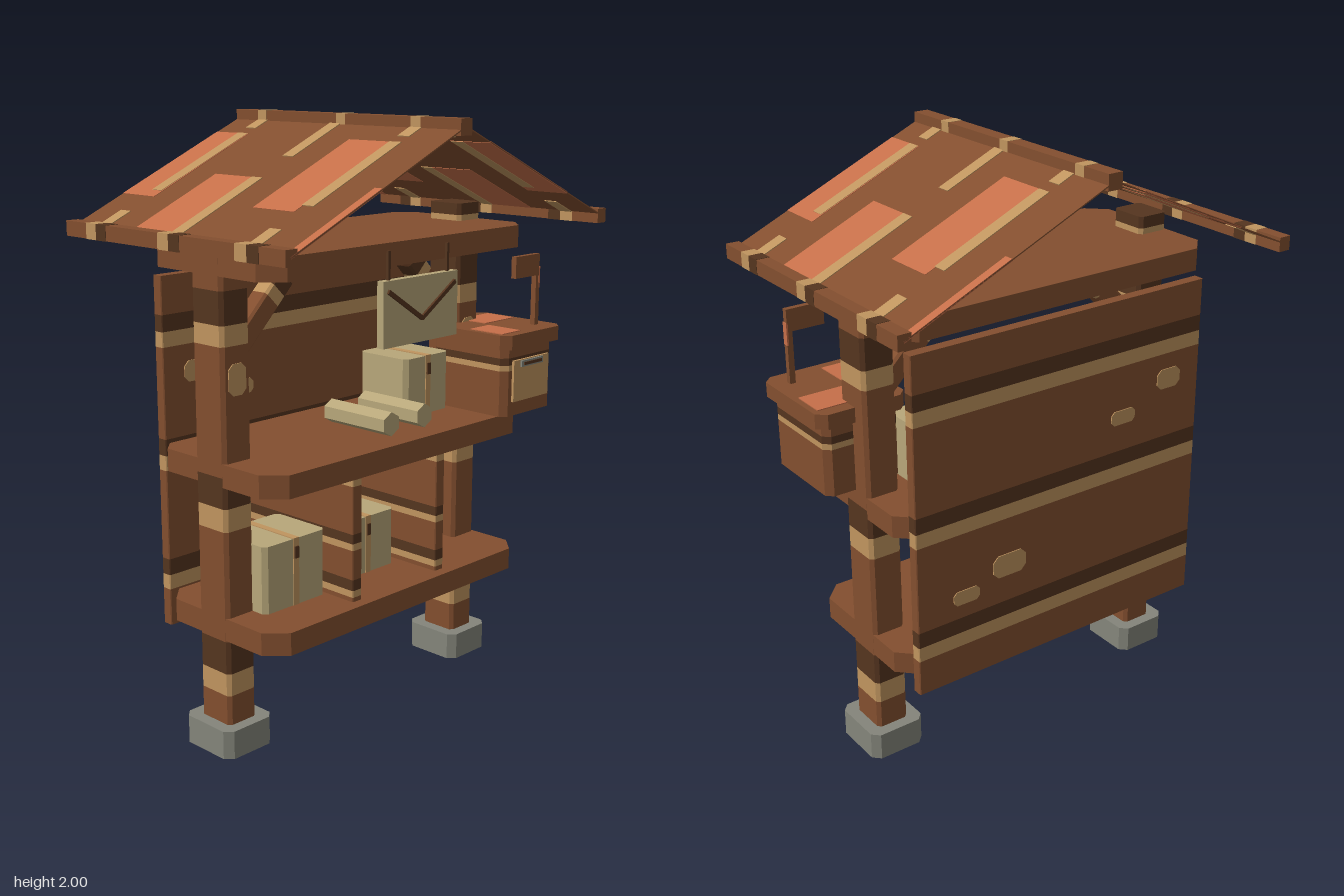
import * as THREE from 'three';

const mat = (name, color) => {
  const m = new THREE.MeshStandardMaterial({ color });
  m.name = name;
  return m;
};

export function createModel() {
  const wood = mat('brown wood', 0x834f2f);
  const dark = mat('dark wood', 0x55351f);
  const tan = mat('tan wood', 0xc0955f);
  const orange = mat('orange wood', 0xc66f49);
  const cream = mat('cream paper', 0xb8a77a);
  const stone = mat('grey stone', 0x84857b);
  const model = new THREE.Group();
  model.name = 'marketStall';

  const add = (parent, name, geo, material, x = 0, y = 0, z = 0) => {
    const m = new THREE.Mesh(geo, material);
    m.name = name;
    m.position.set(x, y, z);
    parent.add(m);
    return m;
  };
  // Box given by its limits on each axis
  const box = (parent, name, material, x0, x1, y0, y1, z0, z1) =>
    add(parent, name, new THREE.BoxGeometry(x1 - x0, y1 - y0, z1 - z0), material,
      (x0 + x1) / 2, (y0 + y1) / 2, (z0 + z1) / 2);
  // Upright block with cut corners in plan
  const block = (parent, name, material, x0, x1, y0, y1, z0, z1, c) => {
    const w = (x1 - x0) / 2, d = (z1 - z0) / 2;
    const pts = [[w, c - d], [w, d - c], [w - c, d], [c - w, d], [-w, d - c], [-w, c - d], [c - w, -d], [w - c, -d]];
    const geo = new THREE.ExtrudeGeometry(new THREE.Shape(pts.map(p => new THREE.Vector2(...p))),
      { depth: y1 - y0, bevelEnabled: false });
    geo.rotateX(-Math.PI / 2);
    return add(parent, name, geo, material, (x0 + x1) / 2, y0, (z0 + z1) / 2);
  };
  // Part split by height into coloured bands; the gaps are plain wood
  const banded = (parent, name, x0, x1, y0, y1, z0, z1, c, bands) => {
    const g = new THREE.Group();
    g.name = name;
    parent.add(g);
    let y = y0;
    for (const [a, b, m] of [...bands, [y1, y1, wood]]) {
      if (a > y) block(g, name + 'Wood', wood, x0, x1, y, a, z0, z1, c);
      if (b > a) block(g, name + 'Band', m, x0, x1, a, b, z0, z1, c);
      y = b;
    }
    return g;
  };
  // Rounded patch of paint, visible on both sides of a thin sheet
  const knot = (parent, x, y, z, w, h, t = 0.006) => {
    const a = w / 2, b = h / 2, c = Math.min(a, b) * 0.5;
    const pts = [[a, c - b], [a, b - c], [a - c, b], [c - a, b], [-a, b - c], [-a, c - b], [c - a, -b], [a - c, -b]];
    const geo = new THREE.ExtrudeGeometry(new THREE.Shape(pts.map(p => new THREE.Vector2(...p))),
      { depth: t, bevelEnabled: false });
    return add(parent, 'woodKnot', geo, tan, x, y, z - t / 2);
  };

  // Posts, feet and diagonal braces
  for (const s of [-1, 1]) {
    const x = 0.5475 * s;
    block(model, 'foot', stone, x - 0.1, x + 0.1, 0, 0.095, -0.11, 0.11, 0.025);
    banded(model, 'post', x - 0.058, x + 0.058, 0.095, 1.68, -0.07, 0.07, 0.012, [
      [0.195, 0.27, tan], [0.27, 0.38, dark], [0.745, 0.82, tan], [0.82, 0.92, dark],
      [1.33, 1.395, tan], [1.395, 1.5, dark], [1.6, 1.64, tan], [1.64, 1.68, dark],
    ]);
    knot(model, x, 1.225, 0.07, 0.07, 0.1);
    const brace = banded(model, 'brace', -0.037, 0.037, -0.18, 0.18, -0.035, 0.035, 0.008,
      [[0.03, 0.07, tan], [0.07, 0.12, dark]]);
    brace.position.set(0.385 * s, 1.42, 0);
    brace.rotation.z = s * Math.PI / 4;
  }

  // Shelves and top plate
  block(model, 'lowerShelf', wood, -0.605, 0.605, 0.385, 0.46, -0.25, 0.29, 0.065);
  block(model, 'upperShelf', wood, -0.605, 0.605, 0.89, 0.965, -0.27, 0.29, 0.065);
  block(model, 'topPlate', wood, -0.605, 0.605, 1.545, 1.62, -0.29, 0.29, 0.065);

  // Back panel
  const panelBands = [0.465, 0.873, 1.28].flatMap(y => [[y, y + 0.05, tan], [y + 0.05, y + 0.105, dark]]);
  banded(model, 'backPanel', -0.575, 0.575, 0.34, 1.51, -0.29, -0.252, 0.003, panelBands);
  for (const [x, y, w, h] of [[-0.44, 1.19, 0.1, 0.07], [-0.245, 1.1, 0.1, 0.05],
    [0.22, 0.705, 0.13, 0.08], [0.39, 0.645, 0.1, 0.05]]) {
    knot(model, x, y, -0.252, w, h);
    knot(model, x, y, -0.29, w, h);
  }

  // Shelf dividers
  for (const x of [-0.205, 0.2]) {
    banded(model, 'divider', x - 0.021, x + 0.021, 0.46, 0.89, -0.25, 0.25, 0.003, [
      [0.475, 0.498, tan], [0.498, 0.535, dark], [0.635, 0.658, tan], [0.658, 0.69, dark],
      [0.85, 0.872, tan],
    ]);
  }

  // Parcels with a strap and seal
  for (const [x0, x1, y0, y1, z0, z1] of [[-0.5, -0.23, 0.46, 0.685, -0.1, 0.13],
    [-0.12, 0.145, 0.46, 0.66, -0.13, 0.09], [0.21, 0.435, 0.965, 1.17, -0.14, 0.08]]) {
    const g = new THREE.Group();
    g.name = 'parcel';
    model.add(g);
    const c = (x0 + x1) / 2;
    block(g, 'parcelBody', cream, x0, x1, y0, y1, z0, z1, 0.015);
    box(g, 'strap', tan, c - 0.012, c + 0.012, y0, y1 + 0.003, z0 - 0.003, z1 + 0.003);
    box(g, 'seal', dark, c - 0.008, c + 0.008, y1 - 0.065, y1 - 0.025, z1, z1 + 0.008);
  }

  // Paper rolls
  for (const x of [-0.08, 0.08]) {
    const geo = new THREE.CylinderGeometry(0.04, 0.04, 0.27, 6).toNonIndexed();
    geo.computeVertexNormals();
    geo.rotateX(Math.PI / 2);
    add(model, 'paperRoll', geo, cream, x, 1.0, 0.145).position.y = 1.035;
  }

  // Hanging envelope sign
  const sign = new THREE.Group();
  sign.name = 'hangingSign';
  model.add(sign);
  box(sign, 'signBoard', cream, -0.175, 0.175, 1.3, 1.51, 0.303, 0.33);
  for (const s of [-1, 1]) {
    box(sign, 'hanger', dark, 0.138 * s - 0.005, 0.138 * s + 0.005, 1.5, 1.6, 0.31, 0.32);
    const flap = add(sign, 'flapLine', new THREE.BoxGeometry(0.188, 0.014, 0.008), dark, 0.078 * s, 1.427, 0.334);
    flap.rotation.z = s * Math.atan2(0.1, 0.155);
  }

  // Letter box on the right post
  const mail = new THREE.Group();
  mail.name = 'letterBox';
  model.add(mail);
  banded(mail, 'letterBoxBody', 0.435, 0.705, 0.97, 1.21, 0.003, 0.33, 0.022,
    [[1.13, 1.15, tan], [1.15, 1.175, dark]]);
  block(mail, 'letterBoxLid', wood, 0.41, 0.73, 1.21, 1.26, -0.015, 0.355, 0.03);
  box(mail, 'lidPatch', orange, 0.55, 0.71, 1.26, 1.263, 0.03, 0.15);
  box(mail, 'lidPatch', orange, 0.43, 0.53, 1.26, 1.263, 0.18, 0.32);
  box(mail, 'frontPlate', tan, 0.475, 0.67, 1.02, 1.165, 0.33, 0.339);
  box(mail, 'slotRim', stone, 0.51, 0.628, 1.14, 1.162, 0.339, 0.346);
  box(mail, 'slot', dark, 0.52, 0.618, 1.146, 1.156, 0.346, 0.35);
  box(mail, 'flagPole', wood, 0.655, 0.675, 1.26, 1.435, 0.265, 0.285);
  box(mail, 'flag', wood, 0.54, 0.673, 1.435, 1.51, 0.265, 0.285);
  box(mail, 'flagEdge', orange, 0.67, 0.676, 1.39, 1.465, 0.264, 0.286);

  // Roof: one slope with its eave pole, turned half round for the other
  const tilt = Math.atan2(0.32, 0.722), stretch = 1 / Math.cos(tilt);
  for (const turn of [0, Math.PI]) {
    const half = new THREE.Group();
    half.name = 'roofHalf';
    half.rotation.y = turn;
    model.add(half);
    const slope = new THREE.Group();
    slope.name = 'roofSlope';
    slope.position.y = 1.975;
    slope.rotation.z = -tilt;
    half.add(slope);
    const sheet = (name, m, x0, x1, z0, z1, t) =>
      box(slope, name, m, x0 * stretch, x1 * stretch, -t, t, z0, z1);
    sheet('roofSheet', wood, 0, 0.73, -0.5, 0.5, 0.002);
    for (const [x0, x1, z0, z1] of [[0.115, 0.52, 0.34, 0.5], [0.365, 0.725, 0.05, 0.22],
      [0.115, 0.52, -0.3, -0.125], [0.365, 0.725, -0.5, -0.47]]) {
      sheet('roofPatch', orange, x0, x1, z0, z1, 0.0035);
    }
    for (const [x0, x1, z] of [[0.365, 0.725, 0.025], [0.02, 0.235, 0.025],
      ...[0.368, -0.32].flatMap(z => [[0.61, 0.725, z], [0.115, 0.485, z], [0.02, 0.08, z]])]) {
      sheet('roofStripe', tan, x0, x1, z - 0.024, z + 0.024, 0.0048);
    }
    // Eave pole, ringed along its length
    box(half, 'eavePole', wood, 0.7, 0.745, 1.63, 1.678, -0.5, 0.5);
    for (const [z, m] of [[0.37, tan], [0.32, dark], [0.02, tan], [-0.03, dark], [-0.32, tan], [-0.37, dark]]) {
      box(half, 'eaveRing', m, 0.699, 0.746, 1.629, 1.679, z - 0.025, z + 0.025);
    }
  }
  box(model, 'ridgePole', wood, -0.026, 0.026, 1.948, 1.999, -0.5, 0.5);
  for (const z of [-0.37, 0, 0.32]) {
    box(model, 'ridgeRing', tan, -0.027, 0.027, 1.947, 2, z - 0.02, z + 0.02);
  }
  return model;
}
